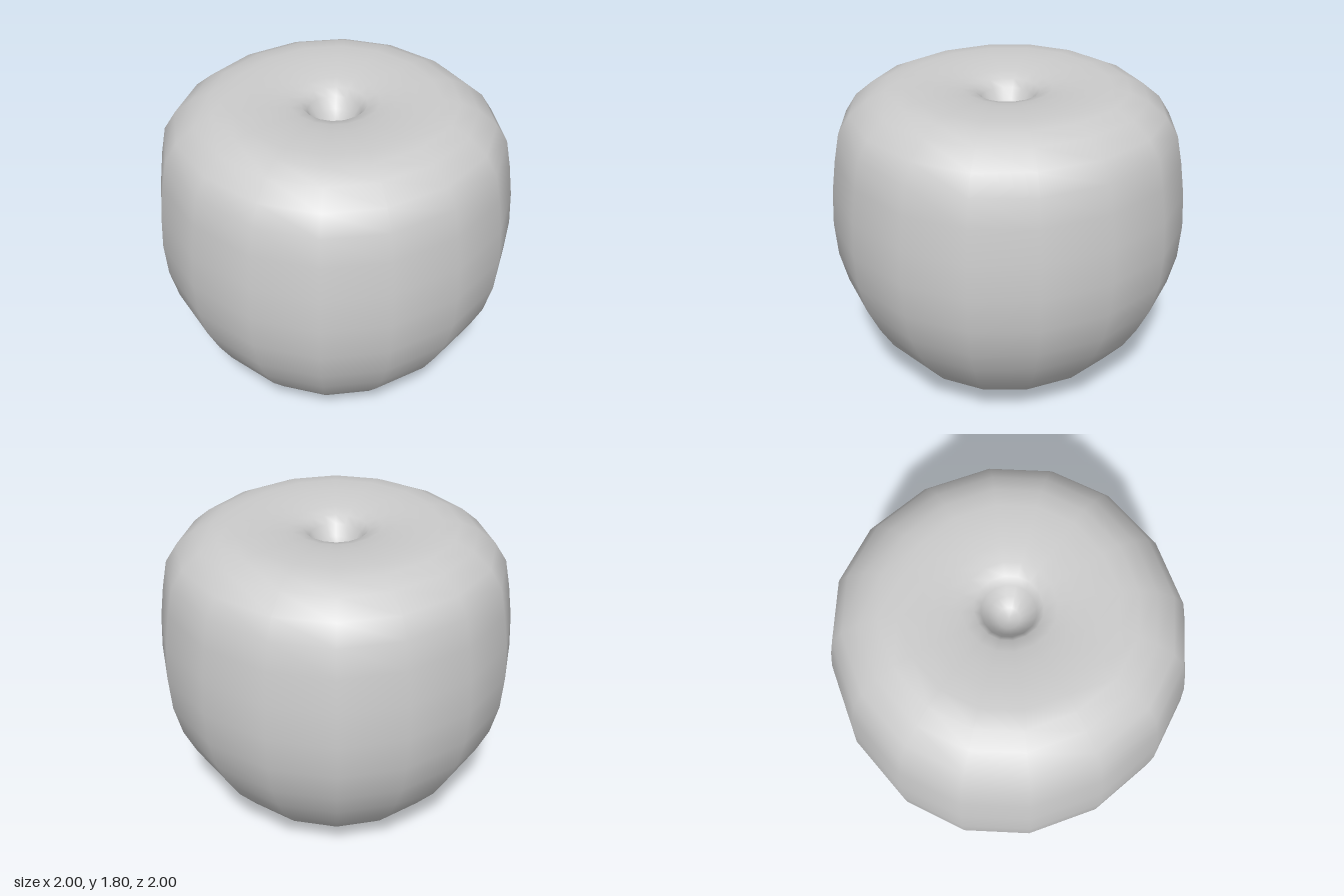
import * as THREE from 'three';
import { mergeVertices } from 'three/addons/utils/BufferGeometryUtils.js';

// Half outline from the base pole, up the side, over the top and into the dimple
const PROFILE = [
  [0, 0], [0.27, 0.025], [0.49, 0.09], [0.67, 0.195], [0.79, 0.335], [0.87, 0.47],
  [0.94, 0.62], [0.985, 0.8], [1, 1], [0.99, 1.2], [0.965, 1.39], [0.935, 1.55],
  [0.87, 1.655], [0.77, 1.74], [0.67, 1.785], [0.57, 1.797], [0.45, 1.795],
  [0.34, 1.785], [0.25, 1.77], [0.18, 1.75], [0.145, 1.71], [0.11, 1.65],
  [0.06, 1.61], [0, 1.595],
];
const SIDES = 16;

// Slightly squared ring: one quarter curve of four spans, turned four times
function ringPoint(i) {
  const k = 0.59;
  const quarter = new THREE.CubicBezierCurve(
    new THREE.Vector2(0, 1), new THREE.Vector2(k, 1),
    new THREE.Vector2(1, k), new THREE.Vector2(1, 0));
  const p = quarter.getPoint((i % 4) / 4);
  return p.rotateAround(new THREE.Vector2(), -Math.floor(i / 4) * Math.PI / 2);
}

export function createModel() {
  const group = new THREE.Group();
  group.name = 'apple';

  const points = PROFILE.map(([r, y]) => new THREE.Vector2(r, y));
  let geometry = new THREE.LatheGeometry(points, SIDES);

  // Move each column of the lathe onto the squared ring
  const pos = geometry.attributes.position;
  for (let i = 0; i <= SIDES; i++) {
    const p = ringPoint(i % SIDES);
    points.forEach(({ x: r, y }, j) => pos.setXYZ(i * points.length + j, r * p.x, y, r * p.y));
  }

  // Weld the seam and poles so the shading is smooth all round
  geometry.deleteAttribute('uv');
  geometry.deleteAttribute('normal');
  geometry = mergeVertices(geometry, 1e-4);
  geometry.computeVertexNormals();

  const body = new THREE.Mesh(geometry, new THREE.MeshStandardMaterial({ color: 0xcccccc }));
  body.name = 'appleBody';
  group.add(body);
  return group;
}
